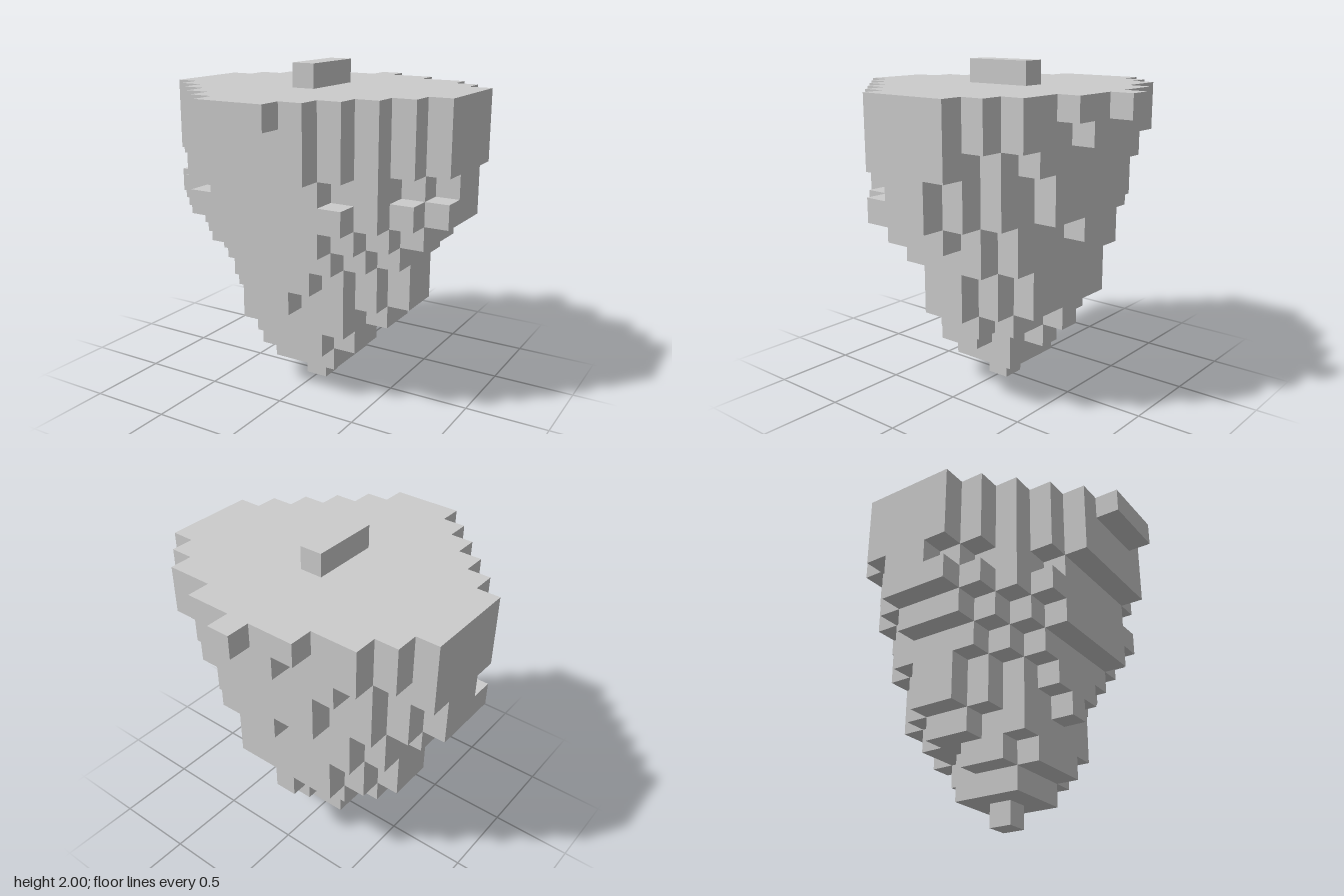
import * as THREE from 'three';

const U = 1 / 7; // block size

// Each layer, bottom to top: [z of first row, half-widths in blocks for rows from back to front].
// A half-width h fills x = -h..h, so every layer is mirrored left to right.
const LAYERS = [
  [0, [0]],
  [-1, [1, 1, 1]],
  [-2, [0, 1, 2, 2, 1]],
  [-3, [0, 2, 3, 3, 2, 2]],
  [-3, [2, 3, 4, 4, 3, 2, 0]],
  [-3, [2, 3, 4, 4, 3, 2, 1]],
  [-3, [3, 4, 4, 4, 4, 3, 2]],
  [-4, [0, 3, 4, 5, 5, 5, 4, 3, 2]],
  [-4, [2, 4, 5, 6, 6, 6, 5, 4, 3]],
  [-4, [2, 4, 5, 6, 6, 5, 4, 4, 2]],
  [-4, [3, 4, 6, 6, 6, 6, 5, 4, 3, 2]],
  [-5, [1, 4, 5, 6, 6, 6, 6, 5, 4, 3, 2]],
  [-6, [0, 2, 4, 5, 6, 6, 6, 6, 5, 4, 3, 2, 1]],
  [-1, [0, 0, 0]],
];

// Parts as ranges of layers
const PARTS = [
  ['tip', 0, 0],
  ['lowerTaper', 1, 3],
  ['middleTaper', 4, 6],
  ['upperTaper', 7, 9],
  ['crown', 10, 12],
  ['topRidge', 13, 13],
];

function filled(x, y, z) {
  const layer = LAYERS[y];
  if (!layer) return false;
  const h = layer[1][z - layer[0]];
  return h !== undefined && Math.abs(x) <= h;
}

// Outer faces only: a square is added wherever a block has no neighbour
function blockSkin(from, to) {
  const pos = [], nor = [], index = [];
  for (let y = from; y <= to; y++) {
    const [z0, rows] = LAYERS[y];
    rows.forEach((h, row) => {
      for (let x = -h; x <= h; x++) {
        const cell = [x, y, z0 + row];
        for (let axis = 0; axis < 3; axis++) {
          for (const side of [-1, 1]) {
            const next = [...cell];
            next[axis] += side;
            if (filled(...next)) continue;
            const a = (axis + 1) % 3, b = (axis + 2) % 3, base = pos.length / 3;
            for (const [s, t] of [[-1, -1], [1, -1], [1, 1], [-1, 1]]) {
              const p = [cell[0], cell[1] + 0.5, cell[2]], n = [0, 0, 0];
              p[axis] += side / 2;
              p[a] += (s * side) / 2; // mirrored on the negative side to keep faces outward
              p[b] += t / 2;
              n[axis] = side;
              pos.push(...p.map((v) => v * U));
              nor.push(...n);
            }
            index.push(base, base + 1, base + 2, base, base + 2, base + 3);
          }
        }
      }
    });
  }
  const g = new THREE.BufferGeometry();
  g.setAttribute('position', new THREE.Float32BufferAttribute(pos, 3));
  g.setAttribute('normal', new THREE.Float32BufferAttribute(nor, 3));
  g.setIndex(index);
  return g;
}

export function createModel() {
  const model = new THREE.Group();
  model.name = 'blockyTaperedSolid';
  const grey = new THREE.MeshStandardMaterial({ color: 0xcccccc, flatShading: true });
  for (const [name, from, to] of PARTS) {
    const mesh = new THREE.Mesh(blockSkin(from, to), grey);
    mesh.name = name;
    model.add(mesh);
  }
  return model;
}
